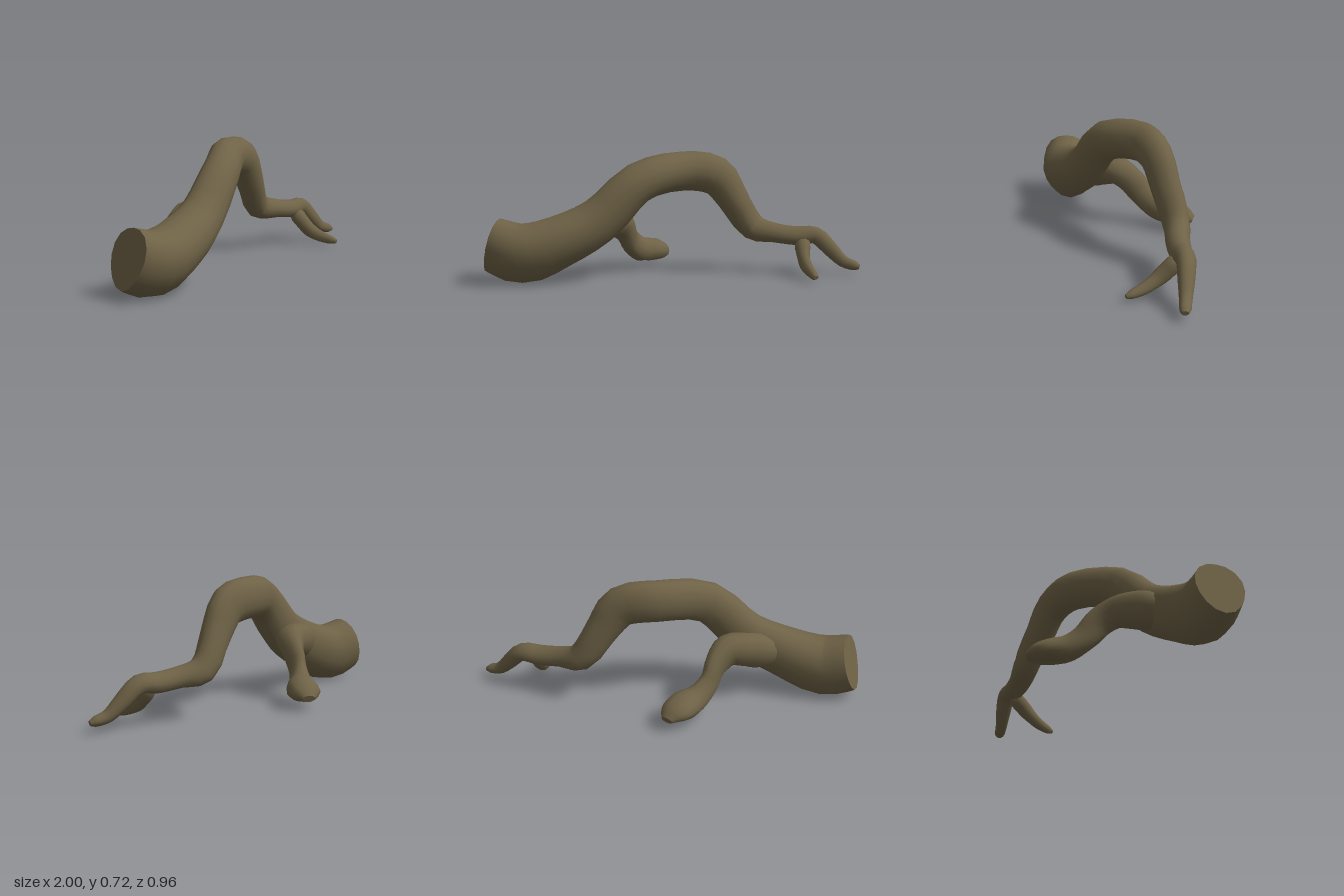
import * as THREE from 'three';

const bark = new THREE.MeshStandardMaterial({ color: 0x6e6246 });
bark.name = 'bark brown';

// Sweeps an oval section along stations [x, y, z, half height, half width], closed by flat caps.
function limb(name, stations, { rings = 24, sides = 14, floor = 0, gnarl = 0.04 } = {}) {
  const curve = new THREE.CatmullRomCurve3(stations.map(s => new THREE.Vector3(s[0], s[1], s[2])), false, 'centripetal');
  const size = new THREE.CatmullRomCurve3(stations.map((s, i) => new THREE.Vector3(s[3], s[4], i)));
  const pos = [], index = [];
  const up = new THREE.Vector3(0, 1, 0);
  const ringPoints = [];
  for (let i = 0; i <= rings; i++) {
    const t = i / rings;
    const c = curve.getPoint(t), r = size.getPoint(t), dir = curve.getTangent(t);
    const side = new THREE.Vector3().crossVectors(dir, up).normalize();
    const top = new THREE.Vector3().crossVectors(side, dir);
    const ring = [];
    for (let j = 0; j < sides; j++) {
      const a = (j / sides) * Math.PI * 2;
      // shallow ridges that twist slowly along the limb
      const k = 1 + gnarl * Math.sin(3 * a + t * 5) + gnarl * 0.5 * Math.sin(2 * a - t * 17);
      const p = c.clone()
        .addScaledVector(side, Math.cos(a) * r.y * k)
        .addScaledVector(top, Math.sin(a) * r.x * k);
      p.y = Math.max(p.y, floor);
      ring.push(p);
      pos.push(p.x, p.y, p.z);
    }
    ringPoints.push(ring);
  }
  for (let i = 0; i < rings; i++) {
    for (let j = 0; j < sides; j++) {
      const a = i * sides + j, b = i * sides + (j + 1) % sides;
      index.push(a, a + sides, b, b, a + sides, b + sides);
    }
  }
  // caps have their own vertices so the cut edge stays crisp
  [[ringPoints[0], false], [ringPoints[rings], true]].forEach(([ring, end]) => {
    const start = pos.length / 3;
    const mid = ring.reduce((m, p) => m.add(p), new THREE.Vector3()).divideScalar(sides);
    ring.concat(mid).forEach(p => pos.push(p.x, p.y, p.z));
    for (let j = 0; j < sides; j++) {
      const a = start + j, b = start + (j + 1) % sides, m = start + sides;
      if (end) index.push(b, a, m);
      else index.push(a, b, m);
    }
  });
  const geo = new THREE.BufferGeometry();
  geo.setAttribute('position', new THREE.Float32BufferAttribute(pos, 3));
  geo.setIndex(index);
  geo.computeVertexNormals();
  const mesh = new THREE.Mesh(geo, bark);
  mesh.name = name;
  return mesh;
}

export function createModel() {
  const model = new THREE.Group();
  model.name = 'archedRoot';

  // thick cut end, high arch, then down to the long tip
  model.add(limb('mainRoot', [
    [-0.96, 0.215, 0.335, 0.158, 0.135],
    [-0.8, 0.172, 0.318, 0.168, 0.155],
    [-0.6, 0.235, 0.255, 0.145, 0.14],
    [-0.4, 0.345, 0.16, 0.13, 0.112],
    [-0.2, 0.55, 0.045, 0.118, 0.1],
    [0.0, 0.602, -0.17, 0.115, 0.098],
    [0.17, 0.57, -0.255, 0.113, 0.085],
    [0.26, 0.44, -0.305, 0.092, 0.08],
    [0.37, 0.262, -0.368, 0.078, 0.072],
    [0.5, 0.233, -0.37, 0.058, 0.064],
    [0.63, 0.218, -0.385, 0.056, 0.06],
    [0.735, 0.222, -0.408, 0.05, 0.052],
    [0.82, 0.15, -0.41, 0.044, 0.045],
    [0.9, 0.078, -0.407, 0.034, 0.034],
    [0.965, 0.057, -0.405, 0.028, 0.03],
    [0.995, 0.05, -0.405, 0.014, 0.018],
  ], { rings: 45, sides: 16 }));

  // rear branch ending in a flat-bottomed swollen foot
  model.add(limb('rearBranch', [
    [-0.61, 0.235, 0.245, 0.05, 0.05],
    [-0.5, 0.28, 0.135, 0.1, 0.1],
    [-0.43, 0.305, 0.06, 0.1, 0.1],
    [-0.36, 0.315, -0.02, 0.09, 0.085],
    [-0.33, 0.265, -0.1, 0.08, 0.06],
    [-0.318, 0.175, -0.175, 0.073, 0.048],
    [-0.285, 0.115, -0.26, 0.074, 0.065],
    [-0.245, 0.1, -0.35, 0.07, 0.092],
    [-0.225, 0.088, -0.42, 0.052, 0.08],
    [-0.215, 0.07, -0.473, 0.02, 0.035],
  ], { rings: 30, floor: 0.05 }));

  // short forked tip bending to the front
  model.add(limb('forkedTip', [
    [0.655, 0.215, -0.392, 0.02, 0.02],
    [0.67, 0.175, -0.355, 0.046, 0.044],
    [0.68, 0.135, -0.315, 0.047, 0.04],
    [0.697, 0.09, -0.265, 0.042, 0.035],
    [0.735, 0.055, -0.2, 0.034, 0.03],
    [0.77, 0.038, -0.14, 0.024, 0.024],
    [0.785, 0.032, -0.112, 0.012, 0.013],
  ], { rings: 18, sides: 10 }));

  return model;
}
